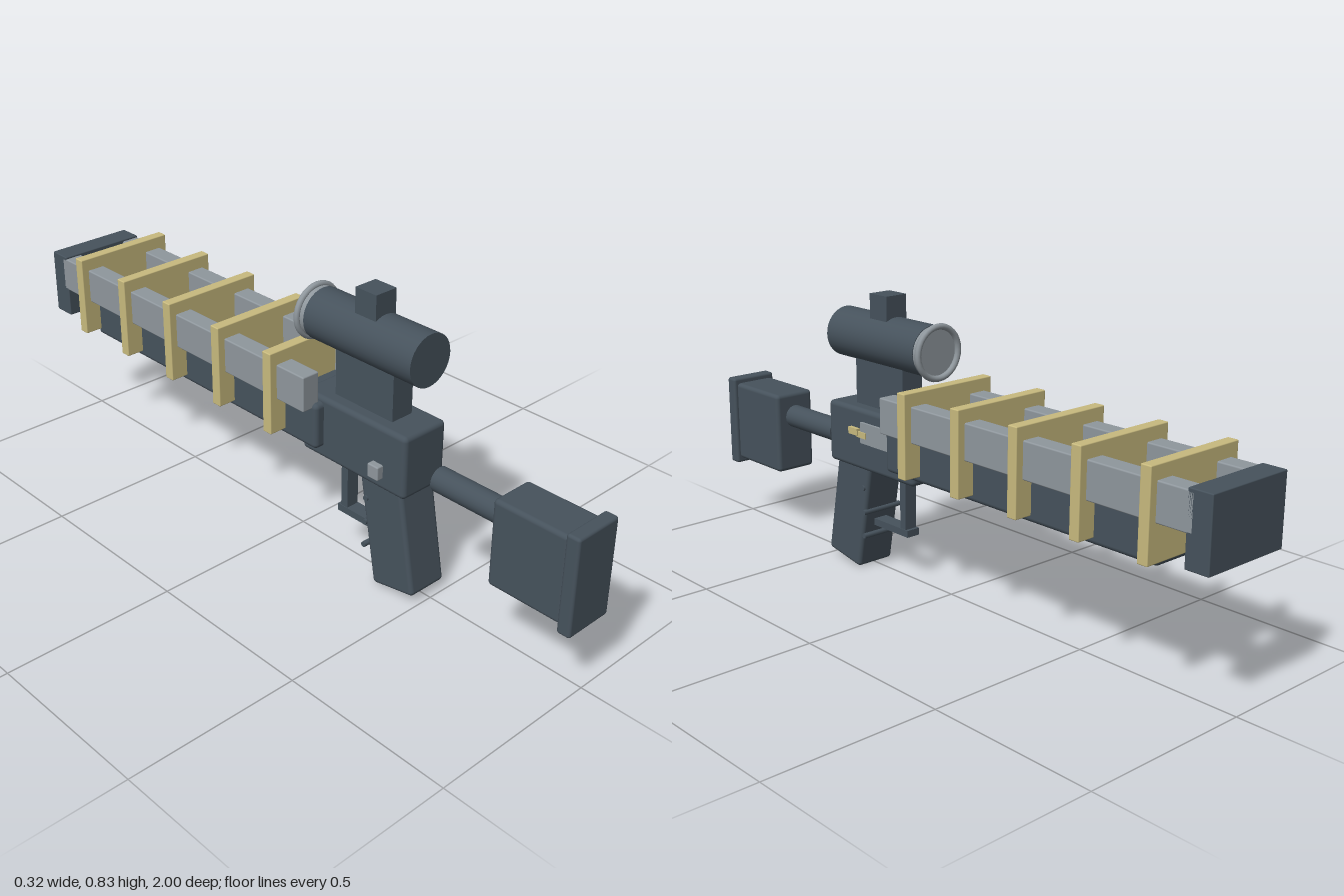
import * as THREE from 'three';
import { RoundedBoxGeometry } from 'three/addons/geometries/RoundedBoxGeometry.js';

export function createModel() {
  const model = new THREE.Group();
  const paint = (name, color) => {
    const m = new THREE.MeshStandardMaterial({ color });
    m.name = name;
    return m;
  };
  const dark = paint('darkSteel', 0x46525c);
  const grey = paint('greyMetal', 0x8f979d);
  const gold = paint('paleGold', 0xc8ba7e);

  const add = (name, geometry, material, x, y, z) => {
    const mesh = new THREE.Mesh(geometry, material);
    mesh.name = name;
    mesh.position.set(x, y, z);
    model.add(mesh);
    return mesh;
  };
  // Box from its limits on each axis, with optional rounded edges
  const box = (name, material, [x0, x1], [y0, y1], [z0, z1], r = 0) => {
    const size = [x1 - x0, y1 - y0, z1 - z0];
    const geo = r ? new RoundedBoxGeometry(...size, 3, r) : new THREE.BoxGeometry(...size);
    return add(name, geo, material, (x0 + x1) / 2, (y0 + y1) / 2, (z0 + z1) / 2);
  };
  // Cylinder lying along z
  const tube = (name, material, r, y, z0, z1, sides = 32) =>
    add(name, new THREE.CylinderGeometry(r, r, z1 - z0, sides).rotateX(Math.PI / 2),
      material, 0, y, (z0 + z1) / 2);
  const wide = (w) => [-w, w];

  // Shoulder stock
  box('buttPlate', dark, wide(0.075), [0.19, 0.472], [0.96, 1], 0.008);
  box('stockBlock', dark, wide(0.066), [0.207, 0.457], [0.737, 0.965], 0.012);
  tube('stockTube', dark, 0.035, 0.382, 0.51, 0.745, 24);

  // Receiver and raked grip
  box('receiver', dark, wide(0.076), [0.32, 0.504], [0.078, 0.458], 0.014);
  const grip = add('grip', new RoundedBoxGeometry(0.126, 0.33, 0.148, 3, 0.012), dark, 0, 0.178, 0.388);
  grip.rotation.x = -0.18;
  for (const [y, z] of [[0.112, 0.311], [0.185, 0.312], [0.26, 0.314]]) {
    add('gripPin', new THREE.CylinderGeometry(0.008, 0.008, 0.136, 10).rotateZ(Math.PI / 2), dark, 0, y, z);
  }

  // Trigger guard
  box('guardPost', dark, wide(0.02), [0.14, 0.33], [0.176, 0.2]);
  box('guardBar', dark, wide(0.022), [0.135, 0.156], [0.166, 0.318]);

  // Scope
  box('scopeMount', dark, wide(0.036), [0.49, 0.66], [0.165, 0.373]);
  tube('scopeBody', dark, 0.073, 0.7, 0.078, 0.46);
  box('scopeKnob', dark, wide(0.036), [0.75, 0.835], [0.231, 0.305]);
  tube('scopeLens', grey, 0.071, 0.7, 0.06, 0.08);
  add('scopeRing', new THREE.TorusGeometry(0.073, 0.009, 10, 32), grey, 0, 0.7, 0.054);

  // Small controls on the sides of the receiver
  box('sidePlate', grey, [0.07, 0.084], [0.405, 0.467], [0.13, 0.3]);
  box('leverArm', gold, [0.074, 0.088], [0.422, 0.44], [0.272, 0.312]);
  box('leverTip', gold, [0.08, 0.092], [0.427, 0.447], [0.305, 0.345]);
  box('sideButton', grey, [-0.096, -0.07], [0.355, 0.396], [0.345, 0.383], 0.004);

  // Long lower body, twin rails and end cap
  box('lowerBody', dark, wide(0.105), [0.355, 0.49], [-0.828, 0.162], 0.014);
  for (const s of [-1, 1]) {
    box('rail', grey, [s * 0.108 - 0.028, s * 0.108 + 0.028], [0.476, 0.579], [-0.95, 0.146], 0.004);
  }
  box('endCap', dark, wide(0.136), [0.39, 0.585], [-1, -0.93], 0.003);

  // Evenly spaced coil plates
  for (let i = 0; i < 5; i++) {
    const z = 0.027 - i * 0.2135;
    box('coilPlate', gold, wide(0.159), [0.375, 0.617], [z - 0.016, z + 0.016], 0.003);
  }
  return model;
}
